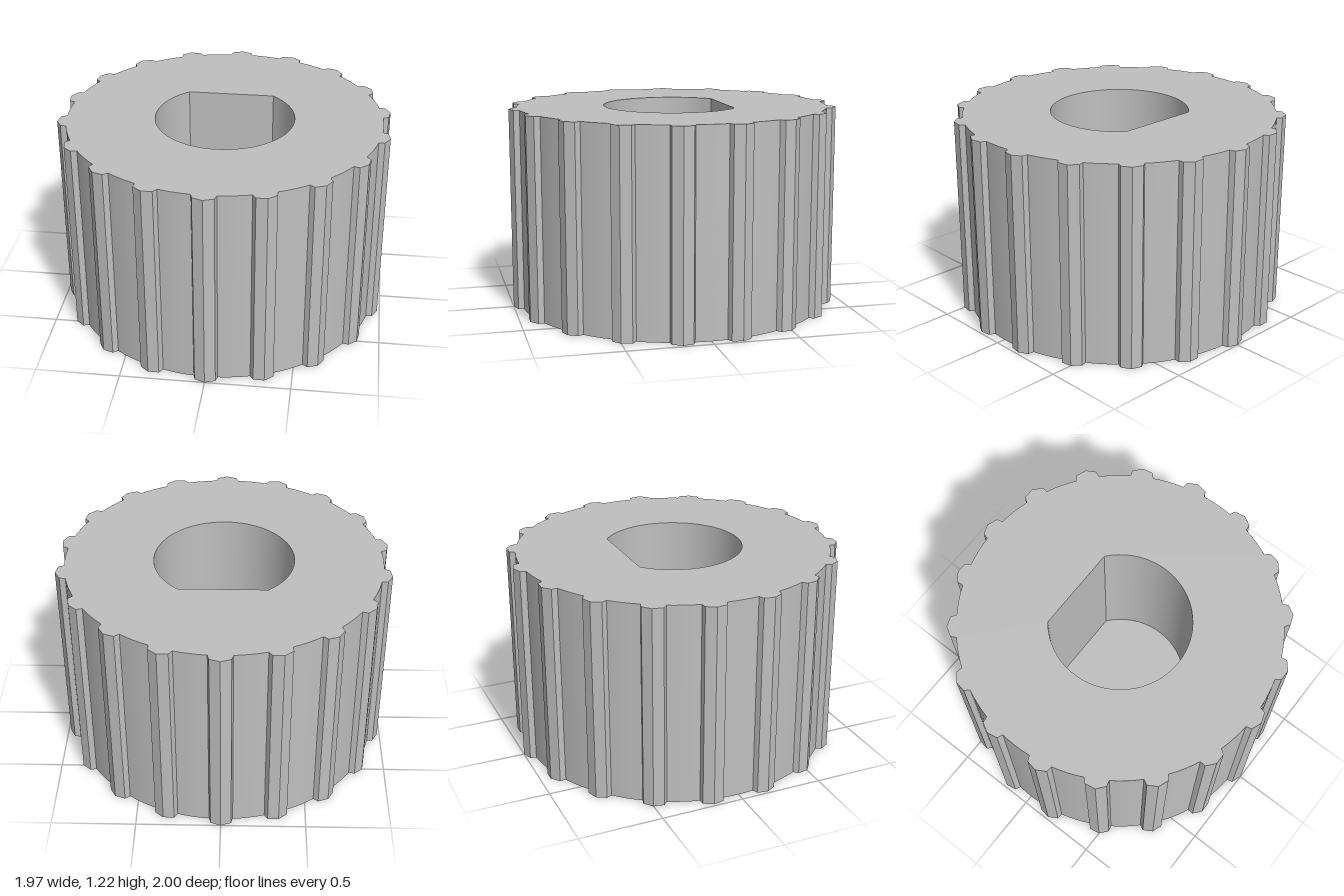
import * as THREE from 'three';
import { toCreasedNormals } from 'three/addons/utils/BufferGeometryUtils.js';

const HEIGHT = 1.22, FLOOR = 0.2, DIMPLE = 0.095;
const RIDGES = 18, VALLEY_R = 0.946;

// Point in plan: angle a is measured from +z towards +x
const polar = (r, a) => new THREE.Vector2(r * Math.sin(a), r * Math.cos(a));

// Upright wall along a closed plan outline (x, z)
function wall(points, y0, y1) {
  const pos = [];
  points.forEach((p, i) => {
    const q = points[(i + 1) % points.length];
    pos.push(p.x, y0, p.y, q.x, y0, q.y, q.x, y1, q.y);
    pos.push(p.x, y0, p.y, q.x, y1, q.y, p.x, y1, p.y);
  });
  const geo = new THREE.BufferGeometry();
  geo.setAttribute('position', new THREE.Float32BufferAttribute(pos, 3));
  return toCreasedNormals(geo, 0.3);
}

// Flat face filling a plan outline, facing up (1) or down (-1)
function cap(points, y, facing, hole) {
  const flip = (list) => list.map((p) => new THREE.Vector2(p.x, -facing * p.y));
  const shape = new THREE.Shape(flip(points));
  if (hole) shape.holes.push(new THREE.Path(flip(hole)));
  return new THREE.ShapeGeometry(shape).rotateX(-facing * Math.PI / 2).translate(0, y, 0);
}

// Grip outline: five-point ridges joined by shallow arcs
function gripOutline() {
  const ridge = [[-0.07, 0.943], [-0.061, 0.978], [0, 1], [0.061, 0.978], [0.07, 0.943]];
  const step = Math.PI * 2 / RIDGES, half = Math.atan(0.07 / 0.943), points = [];
  for (let i = 0; i < RIDGES; i++) {
    const a = i * step;
    for (const [t, r] of ridge) points.push(polar(Math.hypot(t, r), a + Math.atan2(t, r)));
    for (let k = 1; k < 4; k++) points.push(polar(VALLEY_R, a + half + (step - 2 * half) * k / 4));
  }
  return points;
}

// D-shaped shaft outline with its flat towards the back
function shaftOutline() {
  const r = 0.418, end = Math.PI - Math.acos(0.325 / r), points = [];
  for (let i = 0; i <= 48; i++) points.push(polar(r, -end + 2 * end * i / 48));
  return points;
}

export function createModel() {
  const group = new THREE.Group();
  const grey = new THREE.MeshStandardMaterial({ color: 0xbfbfbf });
  grey.name = 'grey plastic';
  const add = (name, geo) => {
    const mesh = new THREE.Mesh(geo, grey);
    mesh.name = name;
    group.add(mesh);
  };

  const grip = gripOutline();
  const shaft = shaftOutline();
  const dimple = [];
  for (let i = 0; i < 32; i++) {
    dimple.push(polar(0.092, i / 32 * Math.PI * 2).add(new THREE.Vector2(0, 0.662)));
  }

  // Ridged outside
  add('ridgedGrip', wall(grip, 0, HEIGHT));
  add('topFace', cap(grip, HEIGHT, 1, shaft));
  add('bottomFace', cap(grip, 0, -1, dimple));

  // Blind shaft bore, opening at the top
  add('shaftBoreWall', wall([...shaft].reverse(), FLOOR, HEIGHT));
  add('shaftBoreFloor', cap(shaft, FLOOR, 1));

  // Shallow round marker recess underneath
  add('markerRecessWall', wall([...dimple].reverse(), 0, DIMPLE));
  add('markerRecessCeiling', cap(dimple, DIMPLE, -1));

  return group;
}
